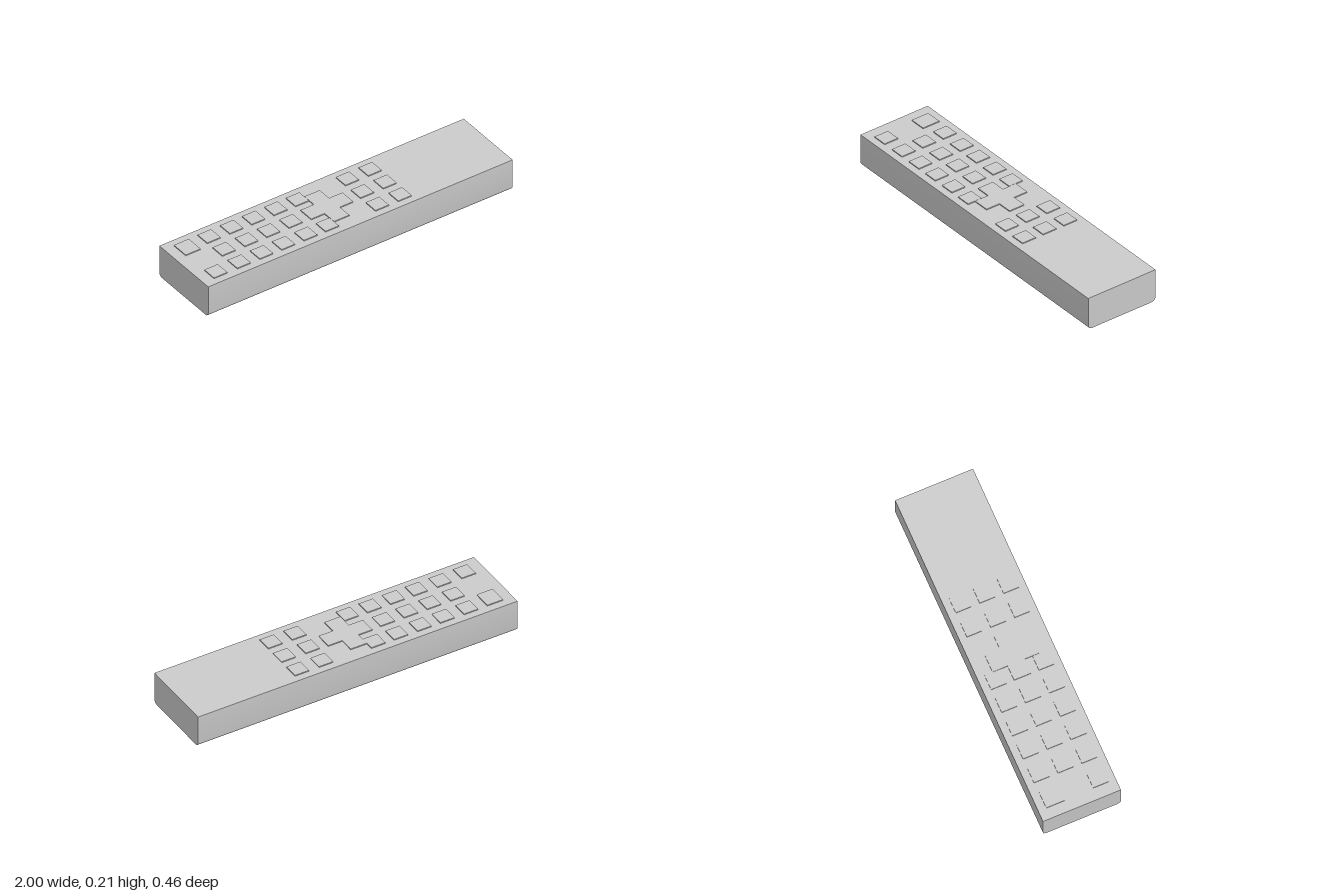
import * as THREE from 'three';
import { toCreasedNormals } from 'three/addons/utils/BufferGeometryUtils.js';

const LENGTH = 2, HEIGHT = 0.2, HALF = 0.228, RADIUS = 0.025, RAISE = 0.006;

export function createModel() {
  const model = new THREE.Group();
  const grey = new THREE.MeshStandardMaterial({ color: 0xcccccc });

  function add(name, geometry, x, y, z) {
    const mesh = new THREE.Mesh(geometry, grey);
    mesh.name = name;
    mesh.position.set(x, y, z);
    model.add(mesh);
  }

  // Body: cross-section with rounded lower edges, swept along x
  const section = new THREE.Shape();
  section.moveTo(-HALF, HEIGHT);
  section.lineTo(-HALF, RADIUS);
  section.absarc(-HALF + RADIUS, RADIUS, RADIUS, Math.PI, Math.PI * 1.5, false);
  section.lineTo(HALF - RADIUS, 0);
  section.absarc(HALF - RADIUS, RADIUS, RADIUS, -Math.PI / 2, 0, false);
  section.lineTo(HALF, HEIGHT);
  section.closePath();
  const body = new THREE.ExtrudeGeometry(section, { depth: LENGTH, bevelEnabled: false, curveSegments: 8 });
  body.translate(0, 0, -LENGTH / 2).rotateY(Math.PI / 2);
  add('body', toCreasedNormals(body, Math.PI / 6), 0, 0, 0);

  // Buttons: rows along x, each with its columns across z
  const all = [-0.14, 0, 0.14], outer = [-0.14, 0.14];
  const rows = [
    [-0.888, [0.14]], [-0.735, all], [-0.587, all], [-0.443, all], [-0.297, all],
    [-0.155, outer], [0.173, all], [0.323, all],
  ];
  const key = new THREE.BoxGeometry(0.088, RAISE, 0.09);
  for (const [x, columns] of rows) {
    for (const z of columns) add('button', key, x, HEIGHT + RAISE / 2, z);
  }
  add('powerButton', new THREE.BoxGeometry(0.098, RAISE, 0.11), -0.888, HEIGHT + RAISE / 2, -0.127);

  // Cross-shaped direction pad
  const a = 0.05, b = 0.138;
  const cross = new THREE.Shape([
    [a, a], [a, b], [-a, b], [-a, a], [-b, a], [-b, -a],
    [-a, -a], [-a, -b], [a, -b], [a, -a], [b, -a], [b, a],
  ].map(([x, y]) => new THREE.Vector2(x, y)));
  const pad = new THREE.ExtrudeGeometry(cross, { depth: RAISE, bevelEnabled: false });
  pad.rotateX(-Math.PI / 2);
  add('directionPad', pad, -0.06, HEIGHT, 0);

  return model;
}
